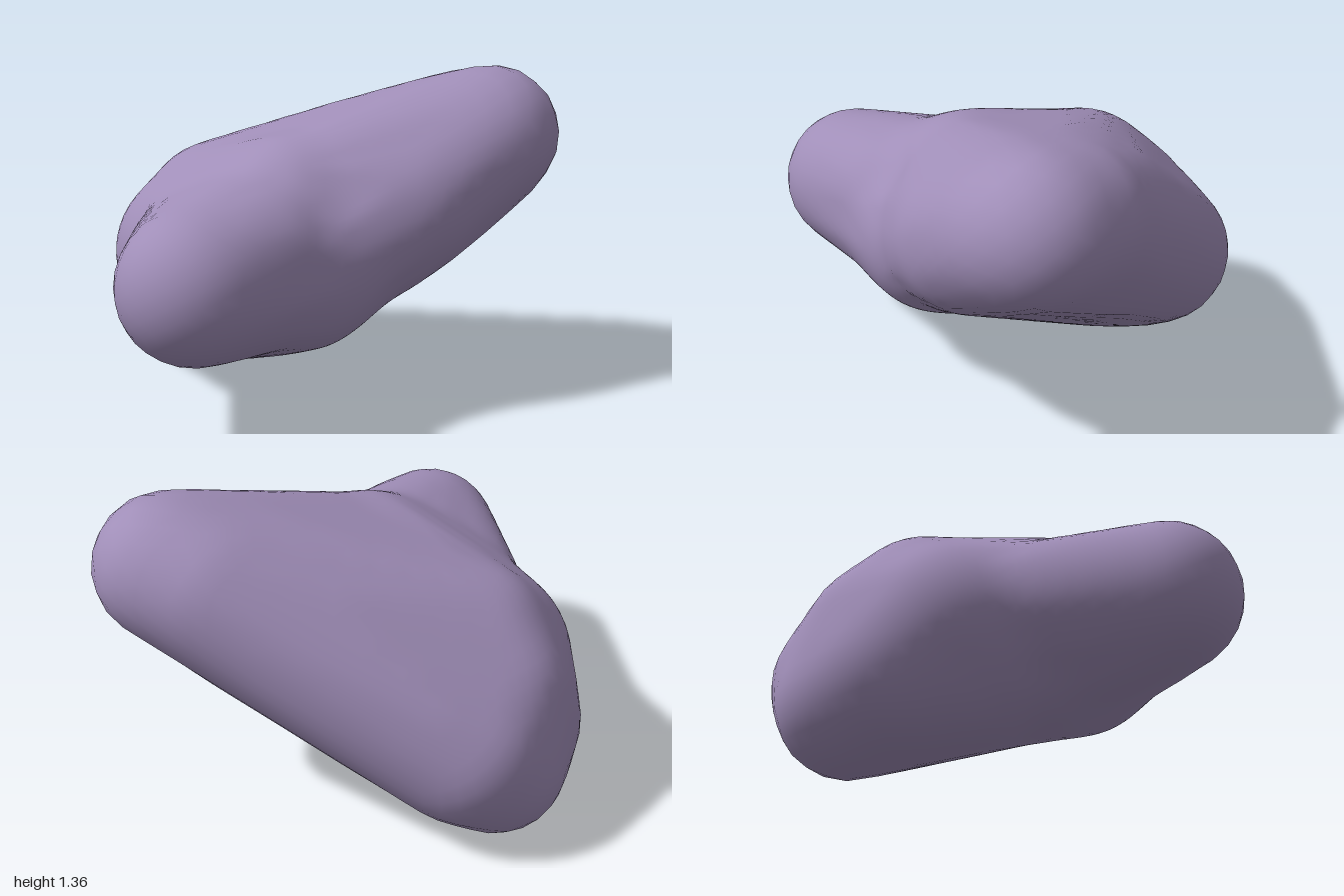
import * as THREE from 'three';
import { mergeVertices } from 'three/addons/utils/BufferGeometryUtils.js';

const purple = new THREE.MeshStandardMaterial({ color: 0xa08eb8 });
purple.name = 'mutedPurple';

// Rounded masses: x, y, z, radius
const bodyMasses = [
  [0.60, 1.07, -0.71, 0.29],    // back lobe
  [0.61, 1.04, -0.64, 0.285],   // its front
  [0.42, 1.02, -0.70, 0.29],    // its inner side
  [0.46, 0.84, -0.28, 0.31],    // flank below the back lobe
  [0.21, 0.62, 0.12, 0.32],     // belly
  [0.16, 0.83, 0.02, 0.295],    // crown
  [-0.60, 0.29, -0.31, 0.29],   // low side lobe
  [-0.55, 0.36, -0.12, 0.32],   // its front
  [-0.52, 0.42, -0.42, 0.32],   // its rear
  [-0.53, 0.56, -0.20, 0.31],   // its upper side
  [-0.40, 0.54, 0.00, 0.37],    // its front shoulder
  [-0.38, 0.66, -0.12, 0.35],   // top of the shoulder
  [-0.25, 0.45, 0.05, 0.33],    // underside
];
const armMasses = [
  [0.165, 0.65, 0.70, 0.30],    // front lobe
  [0.20, 0.70, 0.38, 0.295],    // top of the arm
  [0.10, 0.76, 0.10, 0.29],     // ridge up to the crown
  [0.24, 0.60, 0.14, 0.29],     // root of the arm
  [-0.30, 0.60, 0.09, 0.29],    // web towards the shoulder
  [-0.02, 0.54, 0.25, 0.31],    // underside of the arm
];

// Evenly spread directions
function directions(n) {
  return Array.from({ length: n }, (_, i) => {
    const y = 1 - (2 * i + 1) / n, s = Math.sqrt(1 - y * y), a = i * 2.399963;
    return new THREE.Vector3(s * Math.cos(a), y, s * Math.sin(a));
  });
}

// Returns the distance from the core to the skin stretched round the masses
function stretchedSkin(masses, core, normals) {
  const reach = normals.map((n) => Math.max(...masses.map(([x, y, z, r]) =>
    n.x * (x - core.x) + n.y * (y - core.y) + n.z * (z - core.z) + r)));
  return (d) => {
    let best = Infinity;
    normals.forEach((n, i) => {
      const c = n.dot(d);
      if (c > 0.05) best = Math.min(best, reach[i] / c);
    });
    return best;
  };
}

function smoothMax(a, b, k) {
  const h = Math.max(k - Math.abs(a - b), 0) / k;
  return Math.max(a, b) + h * h * k * 0.25;
}

export function createModel() {
  const group = new THREE.Group();
  group.name = 'lobedBlob';

  const core = new THREE.Vector3(0.1, 0.62, 0);
  const normals = directions(2500);
  const body = stretchedSkin(bodyMasses, core, normals);
  const arm = stretchedSkin(armMasses, core, normals);

  // Push a sphere out to the blended skin
  let geometry = new THREE.IcosahedronGeometry(1, 17);
  geometry.deleteAttribute('uv');
  geometry.deleteAttribute('normal');
  geometry = mergeVertices(geometry, 1e-4);
  const pos = geometry.attributes.position;
  const d = new THREE.Vector3();
  for (let i = 0; i < pos.count; i++) {
    d.fromBufferAttribute(pos, i).normalize();
    d.multiplyScalar(smoothMax(body(d), arm(d), 0.14)).add(core);
    pos.setXYZ(i, d.x, d.y, d.z);
  }
  geometry.computeVertexNormals();

  const mesh = new THREE.Mesh(geometry, purple);
  mesh.name = 'threeLobedBody';
  group.add(mesh);
  return group;
}
